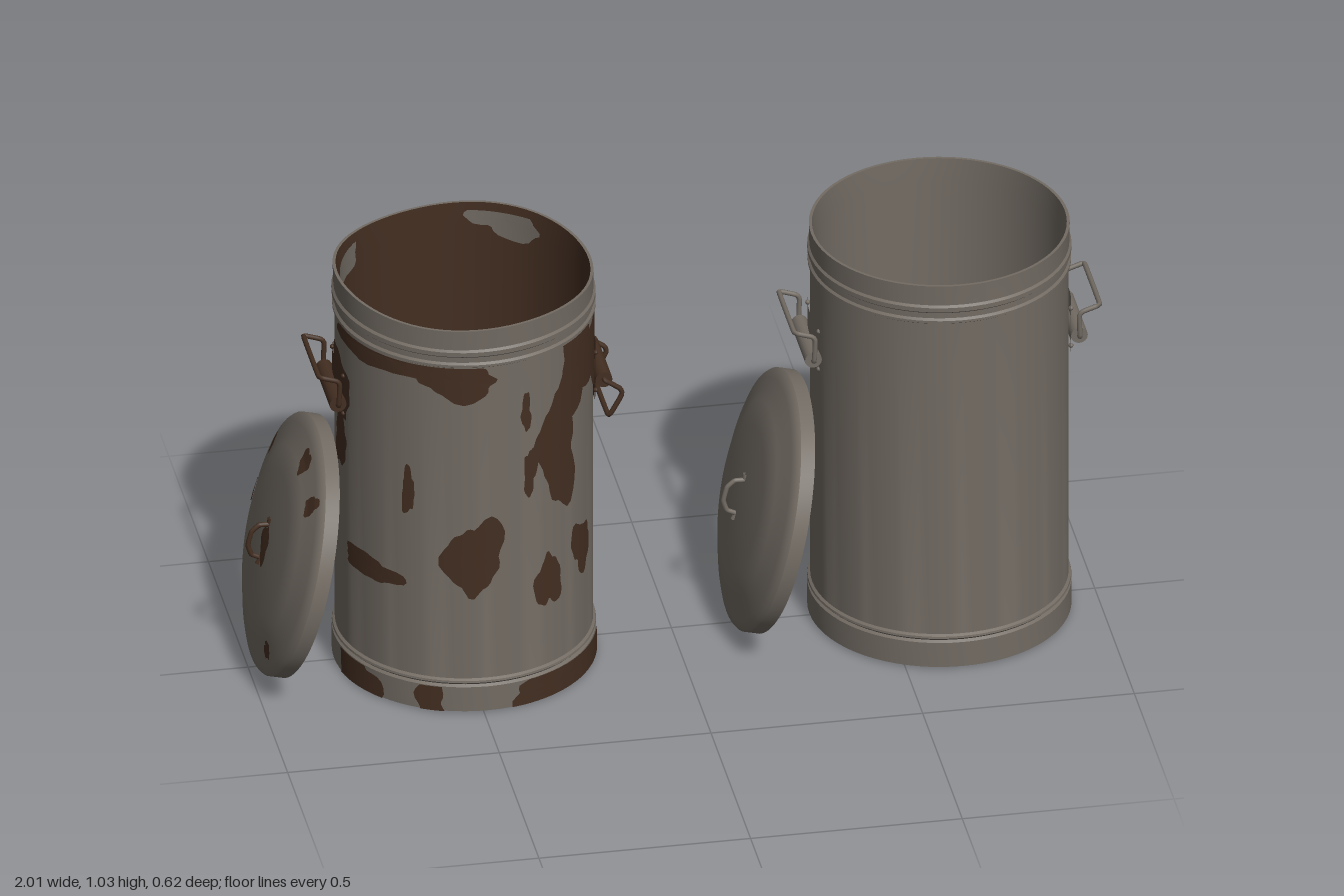
import * as THREE from 'three';
import { toCreasedNormals } from 'three/addons/utils/BufferGeometryUtils.js';

const V = (x, y, z = 0) => new THREE.Vector3(x, y, z);
const steel = new THREE.MeshStandardMaterial({ color: 0x726b63, side: THREE.DoubleSide });
steel.name = 'galvanised steel';
const rust = new THREE.MeshStandardMaterial({ color: 0x432e21, side: THREE.DoubleSide });
rust.name = 'rust';

function add(parent, name, geometry, material) {
  const mesh = new THREE.Mesh(geometry, material);
  mesh.name = name;
  parent.add(mesh);
  return mesh;
}

// Lathe from [radius, height] pairs, with an optional rule that dents the upper rim
function lathe(profile, dented = false) {
  const g = new THREE.LatheGeometry(profile.map(([r, y]) => new THREE.Vector2(r, y)), 72);
  if (dented) {
    const p = g.attributes.position;
    for (let i = 0; i < p.count; i++) {
      const a = Math.atan2(p.getX(i), p.getZ(i));
      const k = THREE.MathUtils.smoothstep(p.getY(i), 0.9, 1.02);
      const s = 1 + k * 0.008 * Math.sin(3 * a + 1);
      p.setXYZ(i, p.getX(i) * s, p.getY(i) + k * (0.006 * Math.sin(3 * a) - 0.006 * Math.sin(a)), p.getZ(i) * s);
    }
  }
  return toCreasedNormals(g, 0.6);
}

// Irregular blob made of rings; place(u, v) lays it onto a curved surface
function blob(w, h, seed, place) {
  const rings = 6, seg = 36, pos = [], idx = [];
  for (let j = 0; j <= rings; j++) {
    for (let i = 0; i < seg; i++) {
      const a = (i / seg) * Math.PI * 2;
      const k = (j / rings) * (1 + 0.16 * Math.sin(2 * a + seed * 1.7) + 0.14 * Math.sin(3 * a + seed * 2.9)
        + 0.08 * Math.sin(5 * a + seed * 4.1) + 0.05 * Math.sin(9 * a + seed));
      pos.push(...place(Math.cos(a) * k * w / 2, Math.sin(a) * k * h / 2));
      if (j < rings) {
        const b = j * seg + i, c = j * seg + (i + 1) % seg;
        idx.push(b, b + seg, c + seg, b, c + seg, c);
      }
    }
  }
  const g = new THREE.BufferGeometry();
  g.setAttribute('position', new THREE.Float32BufferAttribute(pos, 3));
  g.setIndex(idx);
  g.computeVertexNormals();
  return g;
}

// Blob wrapped on a cylinder at a heading in degrees, kept between two heights
const wallBlob = (deg, y, w, h, seed, R, lo, hi) => blob(w, h, seed, (u, v) => {
  const a = THREE.MathUtils.degToRad(deg) + u / 0.3;
  return [R * Math.sin(a), THREE.MathUtils.clamp(y + v, lo, hi), R * Math.cos(a)];
});

const OUTER = [[0, 0], [0.3, 0], [0.307, 0.004], [0.307, 0.068], [0.301, 0.073], [0.307, 0.079], [0.306, 0.084],
  [0.3, 0.088], [0.3, 0.919], [0.306, 0.923], [0.306, 0.929], [0.301, 0.934], [0.301, 0.948], [0.307, 0.953],
  [0.307, 0.964], [0.302, 0.969], [0.303, 1.02], [0.296, 1.02]];
const INNER = [[0.296, 1.02], [0.293, 0.96], [0.293, 0.025], [0, 0.025]];
const LID = [[0.31, 0], [0.31, 0.034], [0.304, 0.042], [0.285, 0.05], [0.255, 0.058], [0.23, 0.068], [0.205, 0.076],
  [0.17, 0.08], [0.09, 0.085], [0, 0.087]];
const LID_UNDER = [[0, 0.077], [0.19, 0.068], [0.25, 0.05], [0.3, 0.035], [0.303, 0], [0.31, 0]];

// Height of the lid's top at a radius
function lidHeight(r) {
  for (let i = 1; i < LID.length; i++) {
    const [r0, y0] = LID[i - 1], [r1, y1] = LID[i];
    if (r >= r1 && r0 > r1) return y1 + (y0 - y1) * Math.min(1, (r - r1) / (r0 - r1));
  }
  return LID[LID.length - 1][1];
}

const wire = (pts, radius) => {
  const path = new THREE.CurvePath();
  const c = new THREE.CatmullRomCurve3(pts, false, 'catmullrom', 0.25);
  path.add(c);
  return new THREE.TubeGeometry(c, 70, radius, 8);
};

// Side handle on +x: riveted plate, rolled sleeve and wire bail
function sideHandle(material, hanging) {
  const g = new THREE.Group();
  g.name = 'sideHandle';
  const plate = add(g, 'handlePlate',
    new THREE.CylinderGeometry(0.306, 0.306, 0.125, 12, 1, true, Math.PI / 2 - 0.28, 0.56), material);
  plate.position.y = 0.747;
  const sleeve = add(g, 'handleSleeve', new THREE.CylinderGeometry(0.02, 0.02, 0.18, 16), material);
  sleeve.rotation.x = Math.PI / 2;
  sleeve.position.set(0.314, 0.733, 0);
  for (const z of [-0.07, 0.07]) {
    for (const y of [0.697, 0.797]) {
      const rivet = add(g, 'rivet', new THREE.SphereGeometry(0.006, 8, 6), material);
      rivet.position.set(Math.sqrt(0.306 ** 2 - z * z), y, z);
    }
  }
  const half = hanging
    ? [V(0.314, 0.735, 0.085), V(0.316, 0.735, 0.098), V(0.35, 0.712, 0.1), V(0.354, 0.695, 0.1),
      V(0.328, 0.648, 0.1), V(0.322, 0.643, 0.088)]
    : [V(0.314, 0.733, 0.085), V(0.314, 0.735, 0.098), V(0.312, 0.79, 0.1), V(0.32, 0.802, 0.1),
      V(0.355, 0.814, 0.1), V(0.361, 0.816, 0.09)];
  const mirror = half.map((p) => V(p.x, p.y, -p.z)).reverse();
  add(g, 'handleBail', wire([...half, ...mirror], 0.006), material);
  return g;
}

// Domed lid with a wire pull, leaning against the can
function leaningLid(rusty) {
  const g = new THREE.Group();
  g.name = 'lid';
  add(g, 'lidShell', lathe([...LID_UNDER, ...LID.slice(1)]), steel);
  add(g, 'lidPull', wire([V(0.062, 0.088), V(0.046, 0.086), V(0.04, 0.108), V(0.02, 0.122), V(-0.015, 0.122),
    V(-0.038, 0.108), V(-0.044, 0.086), V(-0.06, 0.088)], 0.006), rusty ? rust : steel);
  if (rusty) {
    // [up, side, height, width] of each stain
    const stains = [[0, 0.015, 0.09, 0.06], [0, -0.25, 0.07, 0.04], [0.2, 0.18, 0.05, 0.05],
      [0.14, -0.22, 0.05, 0.03], [0.25, 0.06, 0.06, 0.05], [-0.2, 0.16, 0.05, 0.03]];
    stains.forEach(([x, z, w, h], i) => add(g, 'lidRust', blob(w, h, i + 2, (u, v) =>
      [x + u, lidHeight(Math.hypot(x + u, z + v)) + 0.003, z + v]), rust));
  }
  g.rotation.z = THREE.MathUtils.degToRad(76);
  g.position.set(-0.388, 0.3125, 0);
  return g;
}

// Rust stains on the wall: [heading, height, width, height extent]
const WALL_RUST = [
  [-48, 0.915, 0.34, 0.1], [-15, 0.885, 0.2, 0.1], [-36, 0.575, 0.035, 0.11], [-6, 0.41, 0.13, 0.2],
  [-58, 0.335, 0.17, 0.07], [36, 0.65, 0.13, 0.27], [50, 0.84, 0.16, 0.2], [72, 0.84, 0.22, 0.2],
  [90, 0.75, 0.24, 0.2], [18, 0.78, 0.028, 0.09], [20, 0.62, 0.035, 0.12], [30, 0.31, 0.07, 0.15],
  [54, 0.35, 0.09, 0.13], [-82, 0.62, 0.08, 0.14], [205, 0.9, 0.2, 0.1], [232, 0.88, 0.1, 0.12],
  [190, 0.64, 0.04, 0.06], [211, 0.29, 0.09, 0.15], [235, 0.45, 0.17, 0.18], [191, 0.33, 0.04, 0.06],
  [151, 0.7, 0.065, 0.11], [240, 0.62, 0.05, 0.14], [268, 0.76, 0.2, 0.17], [115, 0.9, 0.14, 0.07],
  [160, 0.92, 0.1, 0.06],
];
const BASE_RUST = [[35, 0.3], [62, 0.18], [-65, 0.14], [-25, 0.07], [210, 0.2]];
const CLEAR_INSIDE = [[250, 0.99, 0.22, 0.13], [285, 0.96, 0.12, 0.12], [150, 0.99, 0.2, 0.09], [20, 1, 0.16, 0.07]];

function can(rusty) {
  const g = new THREE.Group();
  g.name = rusty ? 'rustyCan' : 'cleanCan';
  add(g, 'canBody', lathe(OUTER, rusty), steel);
  add(g, 'canInside', lathe(INNER, rusty), rusty ? rust : steel);
  const left = sideHandle(rusty ? rust : steel, rusty);
  const right = sideHandle(rusty ? rust : steel, false);
  right.rotation.y = Math.PI;
  g.add(left, right, leaningLid(rusty));
  if (rusty) {
    WALL_RUST.forEach(([a, y, w, h], i) =>
      add(g, 'wallRust', wallBlob(a, y, w, h, i + 1, 0.3025 + (i % 3) * 0.0004, 0.09, 0.918), rust));
    BASE_RUST.forEach(([a, w], i) =>
      add(g, 'baseRust', wallBlob(a, 0.03, w, 0.13, i + 3, 0.309 + i * 0.0003, 0.004, 0.068), rust));
    CLEAR_INSIDE.forEach(([a, y, w, h], i) =>
      add(g, 'bareSteelInside', wallBlob(a, y, w, h, i + 5, 0.288, 0.85, 1.005), steel));
  }
  return g;
}

export function createModel() {
  const model = new THREE.Group();
  model.name = 'trashCans';
  const old = can(true), fresh = can(false);
  old.position.x = -0.49;
  fresh.position.x = 0.633;
  model.add(old, fresh);
  return model;
}
